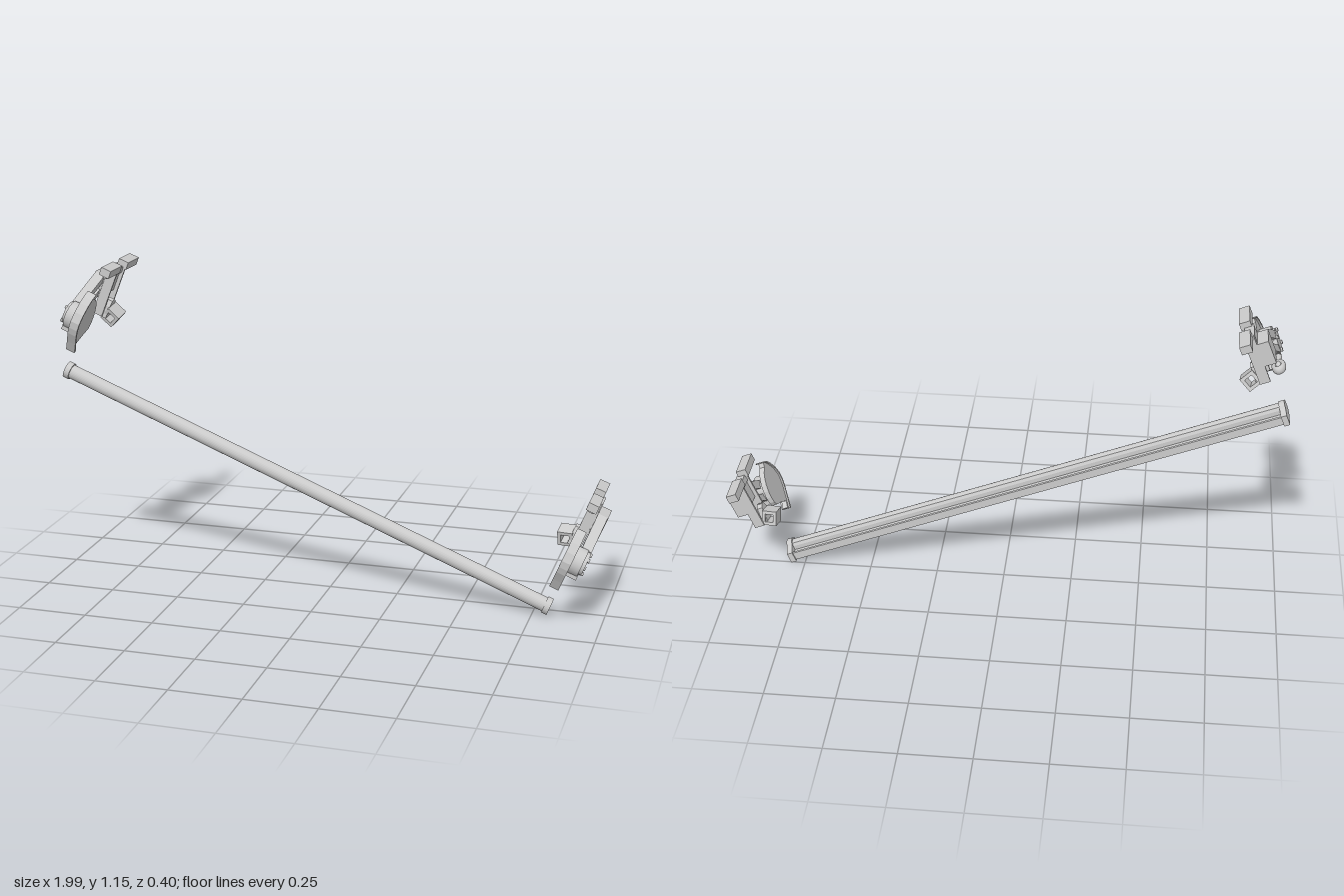
import * as THREE from 'three';

const material = new THREE.MeshStandardMaterial({ color: 0xcccccc, side: THREE.DoubleSide });

function add(parent, name, geometry, x = 0, y = 0, z = 0) {
  const mesh = new THREE.Mesh(geometry, material);
  mesh.name = name;
  mesh.position.set(x, y, z);
  parent.add(mesh);
  return mesh;
}

// Solid with a [z, y] outline, running along x between two stations
function slab(parent, name, outline, x0, x1, smooth = false) {
  const points = outline.map(([z, y]) => new THREE.Vector2(-z, y));
  const shape = new THREE.Shape(smooth ? new THREE.SplineCurve([...points, points[0]]).getPoints(40).slice(0, -1) : points);
  const geometry = new THREE.ExtrudeGeometry(shape, { depth: Math.abs(x1 - x0), bevelEnabled: false });
  geometry.rotateY(Math.PI / 2);
  return add(parent, name, geometry, Math.min(x0, x1));
}

// Box given by its ranges on each axis, with x mirrored by side
function block(parent, name, side, [x0, x1], [y0, y1], [z0, z1]) {
  return add(parent, name, new THREE.BoxGeometry(x1 - x0, y1 - y0, z1 - z0),
    side * (x0 + x1) / 2, (y0 + y1) / 2, (z0 + z1) / 2);
}

// Round front bead blending into a flat rear lip; grow enlarges it for the caps
function barOutline(grow, groove) {
  const points = [];
  for (let i = 0; i <= 20; i++) {
    const a = THREE.MathUtils.degToRad(125 - i * 11.5);
    const r = 0.026 + grow;
    points.push([0.051 + Math.cos(a) * r, 0.337 + Math.sin(a) * r]);
  }
  points.push([0.0 - grow, 0.307 - grow], [0.0 - grow, 0.337 + grow]);
  if (groove) points.push([0.006, 0.339], [0.006, 0.331], [0.031, 0.331], [0.031, 0.347]);
  else points.push([0.01, 0.342 + grow], [0.028, 0.35 + grow]);
  return points;
}

function buildBar(parent) {
  const bar = new THREE.Group();
  bar.name = 'longBar';
  parent.add(bar);
  slab(bar, 'barProfile', barOutline(0, true), -0.955, 0.955);
  for (const s of [-1, 1]) slab(bar, 'barEndCap', barOutline(0.005, false), s * 0.948, s * 0.969);
}

function buildBracket(parent, s) {
  const unit = new THREE.Group();
  unit.name = s > 0 ? 'leftBracket' : 'rightBracket';
  parent.add(unit);

  // Hanger: two mounting flanges, thin legs, cross web and outer housing
  for (const [z0, z1, bolt] of [[-0.04, 0.067, 0.045], [-0.2, -0.097, -0.175]]) {
    block(unit, 'mountingFlange', s, [0.932, 0.97], [0.727, 0.756], [z0, z1]);
    add(unit, 'flangeBolt', new THREE.CylinderGeometry(0.011, 0.011, 0.008, 16), s * 0.951, 0.723, bolt);
  }
  for (const z of [-0.032, -0.106]) block(unit, 'hangerLeg', s, [0.938, 0.975], [0.55, 0.735], [z - 0.004, z + 0.004]);
  block(unit, 'hangerTopBar', s, [0.945, 0.978], [0.71, 0.735], [-0.104, -0.034]);
  block(unit, 'hangerWeb', s, [0.952, 0.978], [0.635, 0.71], [-0.104, -0.034]);
  block(unit, 'housing', s, [0.974, 1.015], [0.612, 0.7], [-0.11, -0.026]);

  // Twin struts from the housing to the round drive
  slab(unit, 'upperStrut', [[-0.026, 0.7], [0.075, 0.638], [0.115, 0.612], [0.1, 0.585], [-0.026, 0.667]], s * 0.977, s * 1.013);
  slab(unit, 'lowerStrut', [[-0.026, 0.642], [0.085, 0.57], [0.085, 0.54], [0.075, 0.545], [-0.026, 0.612]], s * 0.977, s * 1.013);

  // Hooked plate with a rim on its curved front edge
  const arc = [[0.132, 0.675], [0.155, 0.66], [0.172, 0.64], [0.192, 0.608], [0.202, 0.574], [0.199, 0.548], [0.19, 0.524], [0.166, 0.485], [0.144, 0.446]];
  slab(unit, 'hookedPlate', [...arc, [0.129, 0.459], [0.147, 0.479], [0.096, 0.508], [0.065, 0.521], [0.055, 0.54],
    [0.053, 0.564], [0.056, 0.59], [0.065, 0.613], [0.08, 0.633], [0.096, 0.646], [0.123, 0.656]], s * 0.94, s * 0.96);
  const inner = arc.map(([z, y]) => [z - 0.008, y + (z < 0.16 && y < 0.5 ? 0.006 : 0)]).reverse();
  slab(unit, 'plateRim', [...arc, ...inner], s * 0.934, s * 0.968);

  // Round drive with its face plate, four screws and foot
  const drive = new THREE.CylinderGeometry(0.05, 0.05, 0.045, 32).rotateZ(Math.PI / 2);
  add(unit, 'drive', drive, s * 0.98, 0.568, 0.128);
  add(unit, 'driveFace', new THREE.CylinderGeometry(0.042, 0.042, 0.014, 32).rotateZ(Math.PI / 2), s * 1.007, 0.568, 0.122);
  for (const dy of [-0.026, 0.026]) for (const dz of [-0.026, 0.026]) {
    add(unit, 'driveScrew', new THREE.CylinderGeometry(0.007, 0.007, 0.008, 12).rotateZ(Math.PI / 2), s * 1.016, 0.568 + dy, 0.122 + dz);
  }
  block(unit, 'driveFoot', s, [0.965, 1.006], [0.513, 0.535], [0.094, 0.157]);

  // Square open sleeve, tipped below the hanger
  const square = new THREE.Shape([[-1, -1], [1, -1], [1, 1], [-1, 1]].map(([x, y]) => new THREE.Vector2(x * 0.027, y * 0.027)));
  square.holes.push(new THREE.Path([[-1, -1], [-1, 1], [1, 1], [1, -1]].map(([x, y]) => new THREE.Vector2(x * 0.015, y * 0.015))));
  const sleeve = new THREE.ExtrudeGeometry(square, { depth: 0.06, bevelEnabled: false }).translate(0, 0, -0.03);
  add(unit, 'sleeve', sleeve, s * 0.912, 0.56, -0.072).rotation.set(0.26, 0, s * 0.385);
  slab(unit, 'sleeveTab', [[-0.04, 0.545], [-0.042, 0.59], [-0.052, 0.612], [-0.068, 0.617], [-0.083, 0.608], [-0.094, 0.555]], s * 0.925, s * 0.945);

  // Link rod with an eye, fitted on one side only
  if (s < 0) {
    add(unit, 'linkRod', new THREE.CapsuleGeometry(0.012, 0.055, 6, 16).rotateX(Math.PI / 2), -1.0, 0.53, 0.045);
    const eye = new THREE.TorusGeometry(0.021, 0.01, 12, 24).rotateX(Math.PI / 2).scale(0.8, 1.5, 1.15);
    add(unit, 'linkEye', eye, -1.0, 0.53, 0.008);
  }
}

export function createModel() {
  const model = new THREE.Group();
  model.name = 'barWithBrackets';

  // Whole assembly slopes down toward +x
  const angle = THREE.MathUtils.degToRad(-22.03);
  const assembly = new THREE.Group();
  assembly.name = 'slopedAssembly';
  assembly.rotation.z = angle;
  assembly.position.set(-0.2275 * Math.cos(angle), -0.2275 * Math.sin(angle), 0);
  model.add(assembly);

  buildBar(assembly);
  for (const s of [-1, 1]) buildBracket(assembly, s);
  return model;
}
